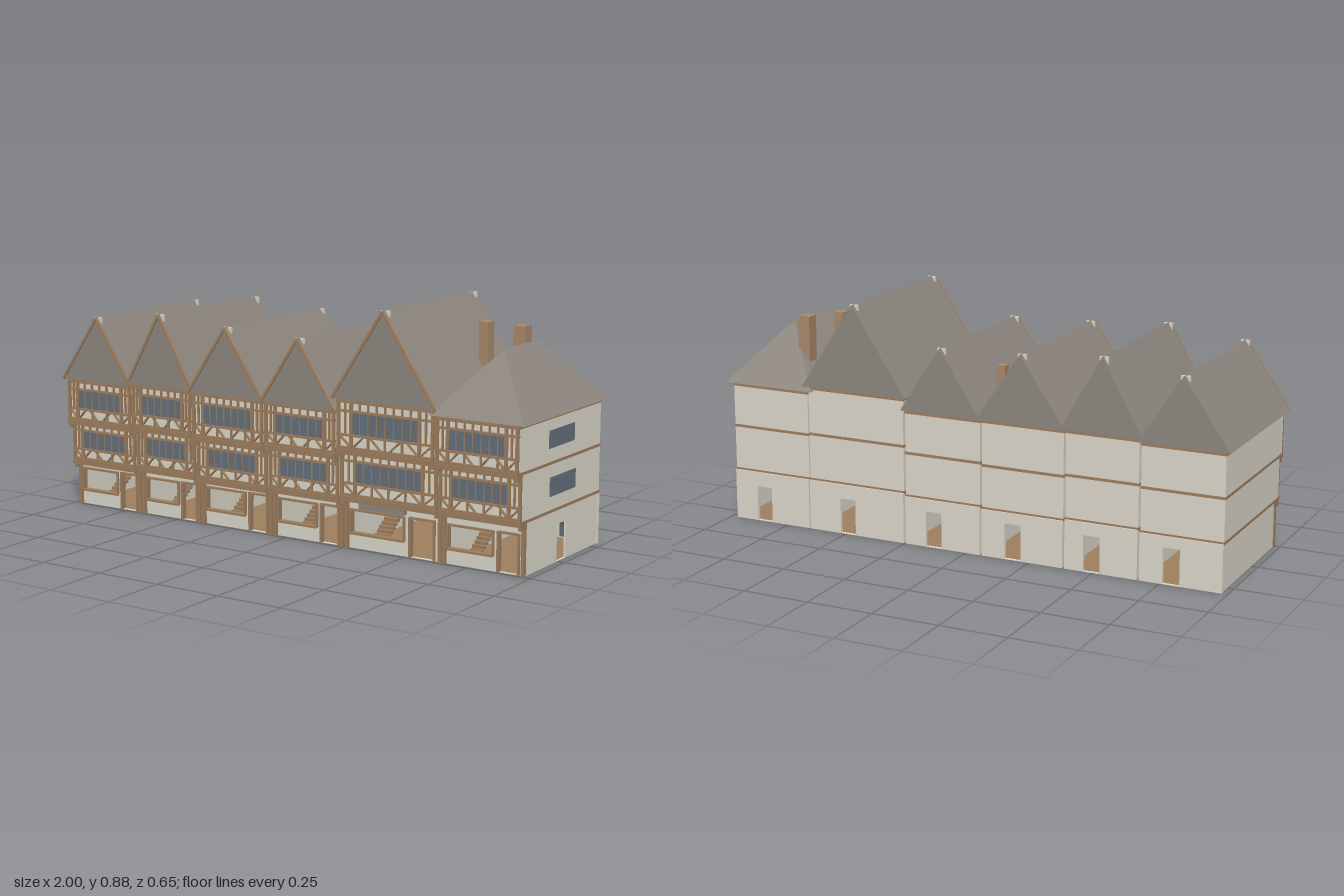
import * as THREE from 'three';

const mat = (name, color) => Object.assign(new THREE.MeshStandardMaterial({ color }), { name });

export function createModel() {
  const plaster = mat('plaster', 0xdedacd);
  const timber = mat('timber', 0xa08060);
  const slate = mat('slate', 0x8f8881);
  const glass = mat('glass', 0x66727c);
  const brick = mat('brick', 0xab8b6c);
  const root = new THREE.Group();
  root.name = 'timberRow';

  // Box from its minimum and maximum corners
  function block(parent, name, m, x0, x1, y0, y1, z0, z1) {
    const mesh = new THREE.Mesh(new THREE.BoxGeometry(x1 - x0, y1 - y0, z1 - z0), m);
    mesh.position.set((x0 + x1) / 2, (y0 + y1) / 2, (z0 + z1) / 2);
    mesh.name = name;
    parent.add(mesh);
    return mesh;
  }

  // Straight timber between two points of a facade
  function beam(parent, name, xa, ya, xb, yb, w, z0, z1) {
    const len = Math.hypot(xb - xa, yb - ya);
    const mesh = new THREE.Mesh(new THREE.BoxGeometry(len, w, z1 - z0), timber);
    mesh.position.set((xa + xb) / 2, (ya + yb) / 2, (z0 + z1) / 2);
    mesh.rotation.z = Math.atan2(yb - ya, xb - xa);
    mesh.name = name;
    parent.add(mesh);
  }

  // Upright wall in the xy plane with rectangular openings
  function piercedWall(parent, name, x0, x1, h, openings, z0, z1) {
    const rect = (C, a, b, c, d) => {
      const s = new C();
      s.moveTo(a, c); s.lineTo(b, c); s.lineTo(b, d); s.lineTo(a, d); s.closePath();
      return s;
    };
    const shape = rect(THREE.Shape, x0, x1, 0, h);
    openings.forEach(o => shape.holes.push(rect(THREE.Path, ...o)));
    const geo = new THREE.ExtrudeGeometry(shape, { depth: z1 - z0, bevelEnabled: false });
    const mesh = new THREE.Mesh(geo, plaster);
    mesh.position.z = z0;
    mesh.name = name;
    parent.add(mesh);
    return mesh;
  }

  // Roof volume: eaves rectangle, ridge line between two z values
  function roof(parent, e0, e1, ridge, y0, y1, zb, zf, rb, rf) {
    const A = [e0, y0, zf], B = [e1, y0, zf], C = [e1, y0, zb], D = [e0, y0, zb];
    const F = [ridge, y1, rf], K = [ridge, y1, rb];
    const faces = [A, B, F, C, D, K, B, C, K, B, K, F, D, A, F, D, F, K, A, D, C, A, C, B];
    const geo = new THREE.BufferGeometry();
    geo.setAttribute('position', new THREE.Float32BufferAttribute(faces.flat(), 3));
    geo.computeVertexNormals();
    const mesh = new THREE.Mesh(geo, slate);
    mesh.name = 'roof';
    parent.add(mesh);
  }

  // One jettied storey with its framing, window band and floor beams
  function storey(parent, x0, x1, y0, y1, zf, below) {
    const g = new THREE.Group();
    g.name = 'storey';
    parent.add(g);
    const w = x1 - x0, h = y1 - y0, zt = zf + 0.01, zi = zf - 0.002;
    block(g, 'storeyWall', plaster, x0, x1, y0, y1, -0.306, zf);
    block(g, 'floorBand', timber, x0 - 0.002, x1 + 0.002, y0 - 0.003, y0 + 0.007, -0.308, zf + 0.002);
    block(g, 'jettyBeam', timber, x0, x1, y0 - 0.012, y0 + 0.008, below, zt + 0.003);
    const wx0 = x0 + w * 0.15, wx1 = x1 - w * 0.15, sill = y0 + h * 0.31, head = y0 + h * 0.77;
    block(g, 'windowBand', glass, wx0, wx1, sill, head, zi, zf + 0.004);
    [y0 + 0.012, sill, head, y1 - 0.008].forEach(y =>
      block(g, 'rail', timber, x0, x1, y - 0.004, y + 0.004, zi, zt));
    [x0 + 0.006, wx0, wx1, x1 - 0.006].forEach(x =>
      block(g, 'post', timber, x - 0.005, x + 0.005, y0, y1, zi, zt + 0.001));
    // Mullions, with short studs above and below
    const n = Math.round((wx1 - wx0) / 0.033);
    for (let i = 1; i < n; i++) {
      const x = wx0 + (wx1 - wx0) * i / n;
      block(g, 'mullion', timber, x - 0.0015, x + 0.0015, sill, head, zi, zf + 0.007);
      block(g, 'upperStud', timber, x - 0.0025, x + 0.0025, head, y1, zi, zt - 0.001);
      if (i % 2 === 0) block(g, 'lowerStud', timber, x - 0.0025, x + 0.0025, y0, sill, zi, zt - 0.001);
    }
    // Mirrored braces beneath the window and at the corners
    const at = (s, t) => s > 0 ? x0 + w * t : x1 - w * t;
    [1, -1].forEach(s => {
      beam(g, 'brace', at(s, 0.16), y0 + 0.012, at(s, 0.28), sill, 0.006, zi, zt - 0.002);
      beam(g, 'brace', at(s, 0.46), y0 + 0.012, at(s, 0.34), sill, 0.006, zi, zt - 0.002);
      beam(g, 'cornerBrace', at(s, 0.02), sill, at(s, 0.15), y0 + 0.012, 0.006, zi, zt - 0.002);
      block(g, 'sideStud', timber, at(s, 0.085) - 0.0025, at(s, 0.085) + 0.0025, sill, y1, zi, zt - 0.001);
      // Joist bracket under the jetty
      const bx = at(s, 0.02);
      block(g, 'bracket', timber, bx - 0.006, bx + 0.006, y0 - 0.026, y0, below - 0.005, zt - 0.006);
    });
  }

  // Walls x0..x1, floor levels, eaves e0..e1, ridge position and height
  const houses = [
    { x: [-0.98, -0.674], f: [0.175, 0.335, 0.50], e: [-1.0, -0.663], r: [-0.828, 0.75] },
    { x: [-0.666, -0.39], f: [0.182, 0.342, 0.51], e: [-0.685, -0.375], r: [-0.53, 0.785] },
    { x: [-0.382, -0.064], f: [0.175, 0.335, 0.508], e: [-0.392, -0.05], r: [-0.221, 0.762] },
    { x: [-0.056, 0.246], f: [0.18, 0.342, 0.506], e: [-0.066, 0.256], r: [0.096, 0.75] },
    { x: [0.254, 0.65], f: [0.19, 0.365, 0.55], e: [0.238, 0.667], r: [0.45, 0.875] },
    { x: [0.655, 0.975], f: [0.19, 0.36, 0.53], e: [0.628, 1.0], r: [0.813, 0.747], hip: true },
  ];

  houses.forEach((h, i) => {
    const g = new THREE.Group();
    g.name = 'house' + (i + 1);
    root.add(g);
    const [x0, x1] = h.x, [f1, f2, f3] = h.f, w = x1 - x0;
    const px = t => x0 + w * t;

    // Hollow ground floor with shop window, front door and back door
    const shop = [px(0.05), px(0.61), 0.055, 0.14];
    const door = [px(0.67), px(0.92), 0.002, 0.142];
    const bx = px(0.51);
    piercedWall(g, 'shopFront', x0 + 0.004, x1 - 0.004, f1, [shop, door], 0.225, 0.237);
    piercedWall(g, 'backWall', x0, x1, f1, [[bx, bx + 0.063, 0.002, 0.135]], -0.313, -0.301);
    block(g, 'partyWall', plaster, x0 + 0.004, x0 + 0.012, 0, f1, -0.301, 0.226);
    if (i < 5) block(g, 'partyWall', plaster, x1 - 0.012, x1 - 0.004, 0, f1, -0.301, 0.226);
    else {
      const end = piercedWall(g, 'endWall', -0.226, 0.301, f1, [[-0.005, 0.063, 0.002, 0.135]], 0, 0.008);
      end.rotation.y = Math.PI / 2;
      end.position.set(x1 - 0.012, 0, 0);
    }
    block(g, 'groundFloor', timber, x0 + 0.012, x1 - 0.012, 0, 0.003, -0.301, 0.225);

    // Staircase rising towards the back
    for (let k = 0; k < 15; k++) {
      const z = 0.11 - k * 0.0155, y = (k + 1) * 0.0118;
      if (y < f1) block(g, 'stair', timber, px(0.07), px(0.22), y - 0.0118, y, z - 0.0155, z);
    }

    // Shop window frame, door frame and corner posts
    [[...shop, 'windowFrame'], [...door, 'doorFrame']].forEach(([a, b, c, d, name]) => {
      [a, b].forEach(x => block(g, name, timber, x - 0.004, x + 0.004, c, d + 0.004, 0.223, 0.245));
      block(g, name, timber, a, b, d - 0.003, d + 0.005, 0.223, 0.245);
      if (c > 0.01) block(g, name, timber, a, b, c - 0.004, c + 0.004, 0.223, 0.247);
    });
    [x0 + 0.006, x1 - 0.006].forEach(x =>
      block(g, 'cornerPost', timber, x - 0.006, x + 0.006, 0, f1, 0.236, 0.251));

    // Jettied upper storeys
    storey(g, x0, x1, f1, f2, 0.27, 0.237);
    storey(g, x0, x1, f2, f3, 0.295, 0.27);
    block(g, 'eavesBand', timber, x0 - 0.002, x1 + 0.002, f3 - 0.014, f3, -0.308, 0.303);

    // Roof: hipped at the end of the row, gabled elsewhere
    const [e0, e1] = h.e, [rx, ry] = h.r;
    if (h.hip) roof(g, e0, e1, rx, f3, ry, -0.324, 0.311, -0.128, 0.116);
    else {
      const zf = i >= 2 && i <= 4 ? 0.318 : 0.309;
      roof(g, e0, e1, rx, f3, ry, -0.324, zf, -0.324, zf);
      [e0, e1].forEach(e => {
        const s = Math.sign(rx - e);
        beam(g, 'bargeBoard', e + s * 0.005, f3 + 0.001, rx, ry - 0.006, 0.01, zf - 0.004, zf + 0.004);
      });
      // Finishing blocks at the ridge ends
      [-0.303, 0.295].forEach(z =>
        block(g, 'ridgeBlock', plaster, rx - 0.016, rx + 0.016, ry - 0.033, ry - 0.003, z - 0.006, z + 0.006));
    }
  });

  // End wall windows
  block(root, 'endWindow', glass, 0.97, 0.979, 0.415, 0.477, -0.098, 0.086);
  block(root, 'endWindow', glass, 0.97, 0.979, 0.245, 0.312, -0.112, 0.075);

  // Shop canopy
  block(root, 'canopy', slate, 0.32, 0.505, 0.152, 0.176, 0.236, 0.262);

  // Chimneys
  [[-0.092, -0.06, 0.675, -0.175, -0.145], [0.592, 0.63, 0.798, -0.142, -0.10],
    [0.70, 0.746, 0.785, -0.207, -0.158]].forEach(([a, b, top, z0, z1]) =>
    block(root, 'chimney', brick, a, b, 0.5, top, z0, z1));

  return root;
}
